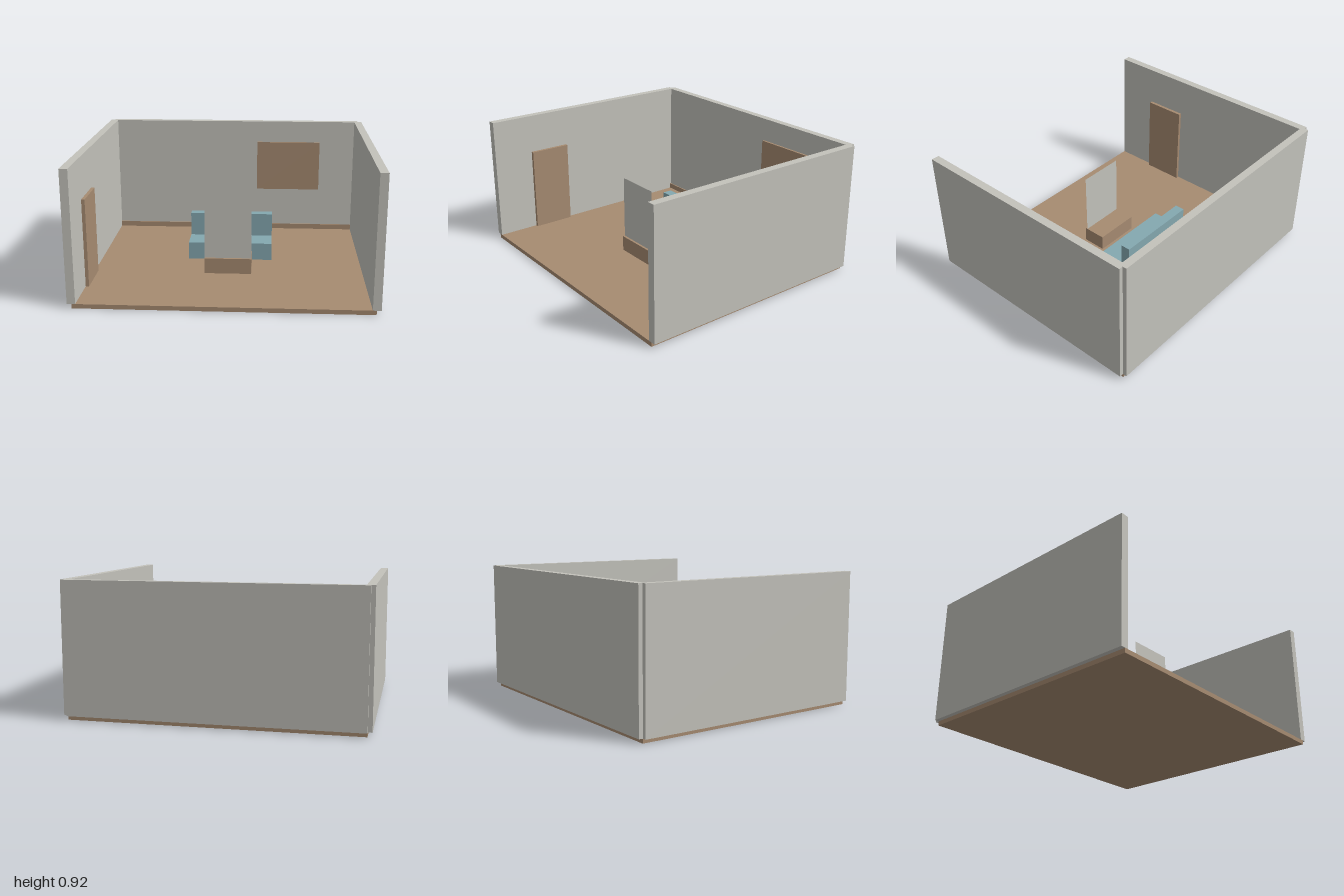
import * as THREE from 'three';

export function createModel() {
  const room = new THREE.Group();
  room.name = 'room';

  const plaster = new THREE.MeshStandardMaterial({ color: 0xc3c2bb, side: THREE.DoubleSide });
  plaster.name = 'plaster';
  const wood = new THREE.MeshStandardMaterial({ color: 0xa68b71 });
  wood.name = 'wood';
  const fabric = new THREE.MeshStandardMaterial({ color: 0x84a8b0 });
  fabric.name = 'fabric';

  // Adds a box given its extents along each axis
  function box(name, material, [x0, x1], [y0, y1], [z0, z1], parent = room) {
    const mesh = new THREE.Mesh(new THREE.BoxGeometry(x1 - x0, y1 - y0, z1 - z0), material);
    mesh.position.set((x0 + x1) / 2, (y0 + y1) / 2, (z0 + z1) / 2);
    mesh.name = name;
    parent.add(mesh);
    return mesh;
  }

  // Shell: floor slab and three walls, open at the front
  const floorY = 0.03, wallTop = 0.92;
  box('floor', wood, [-0.97, 0.97], [0, floorY], [-0.82, 0.848]);
  box('backWall', plaster, [-0.972, 0.972], [floorY, wallTop], [-0.848, -0.795]);
  box('rightWall', plaster, [-1, -0.945], [floorY, wallTop], [-0.82, 0.848]);
  box('leftWall', plaster, [0.945, 1], [floorY, wallTop], [-0.82, 0.848]);

  // Wall fittings
  box('skirtingBoard', wood, [-0.945, 0.945], [floorY, 0.07], [-0.795, -0.786]);
  box('door', wood, [-0.945, -0.922], [floorY, 0.64], [0.25, 0.55]);
  box('wallPanel', wood, [0.178, 0.675], [0.368, 0.755], [-0.795, -0.779]);

  // Sofa
  const sofa = new THREE.Group();
  sofa.name = 'sofa';
  room.add(sofa);
  box('seat', fabric, [-0.304, 0.304], [floorY, 0.155], [-0.29, -0.03], sofa);
  box('backrest', fabric, [-0.304, 0.304], [0.155, 0.323], [-0.29, -0.22], sofa);

  // Low table with an upright sheet near its front edge
  box('table', wood, [-0.164, 0.164], [floorY, 0.14], [0.092, 0.261]);
  const sheet = new THREE.Mesh(new THREE.PlaneGeometry(0.328, 0.45), plaster);
  sheet.name = 'uprightSheet';
  sheet.position.set(0, 0.365, 0.244);
  room.add(sheet);

  return room;
}
